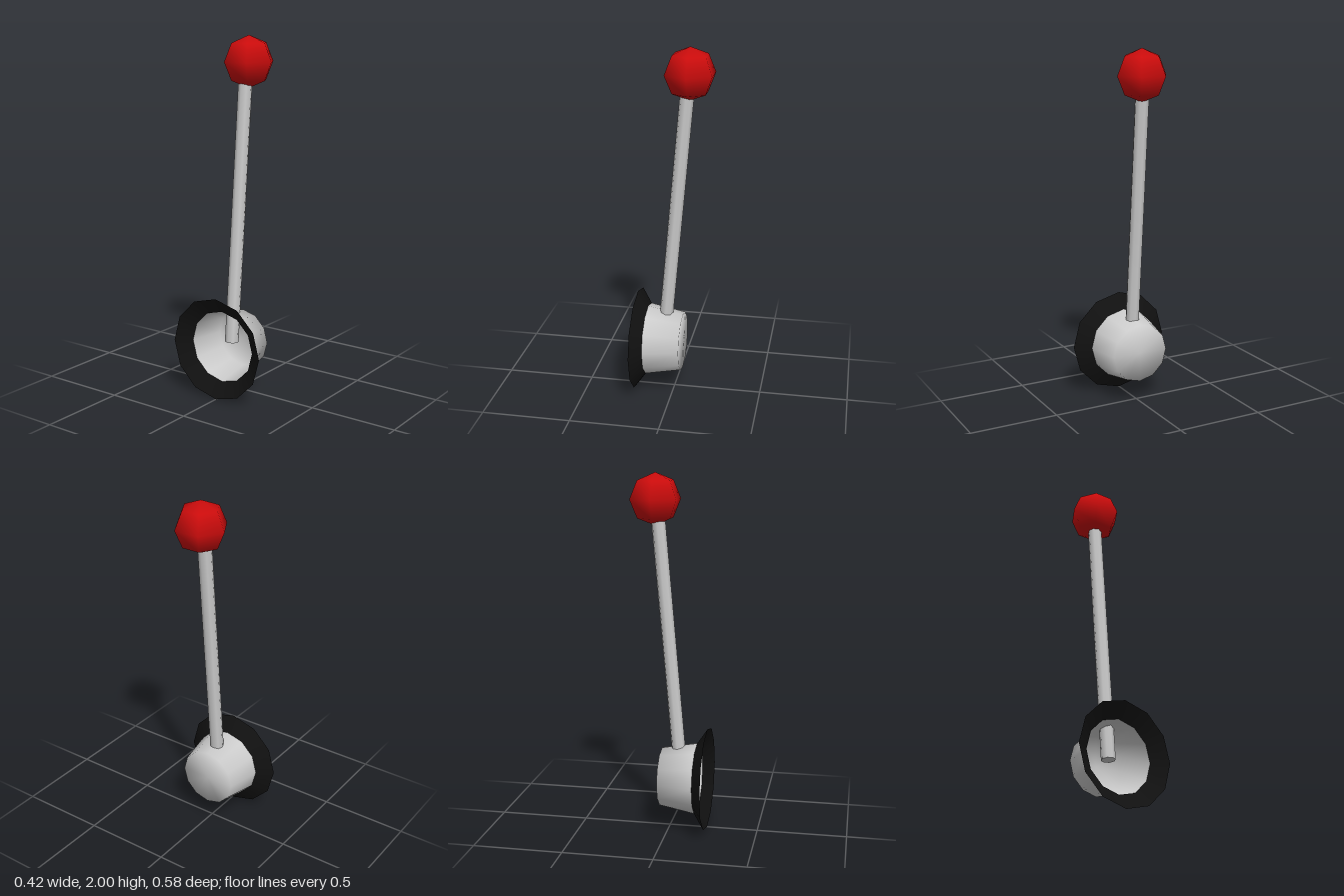
import * as THREE from 'three';

const material = (color, side = THREE.FrontSide) => new THREE.MeshStandardMaterial({ color, side });

function addMesh(group, name, geometry, mat) {
  const mesh = new THREE.Mesh(geometry, mat);
  mesh.name = name;
  group.add(mesh);
  return mesh;
}

// Turned shell about the x axis; profile points are [radius, x]
function turnedShell(profile) {
  const points = profile.map(([r, x]) => new THREE.Vector2(r, x));
  return new THREE.LatheGeometry(points, 12).rotateZ(-Math.PI / 2).translate(0, 0.295, 0);
}

export function createModel() {
  const group = new THREE.Group();
  group.name = 'lever';
  const grey = material(0xcccccc);
  const greyShell = material(0xcccccc, THREE.DoubleSide);
  const black = material(0x111111, THREE.DoubleSide);
  const red = material(0xcc0c0c);

  // Hollow cup, closed at +x and open at -x
  addMesh(group, 'cup', turnedShell([[0.204, -0.154], [0.167, 0.048], [0, 0.048]]), greyShell);

  // Flared rim around the open end
  addMesh(group, 'flange', turnedShell([[0.291, -0.213], [0.204, -0.154]]), black);

  // Leaning rod that ends inside the cup and inside the knob
  const bottom = new THREE.Vector3(-0.062, 0.3, 0);
  const top = new THREE.Vector3(0.073, 1.82, 0);
  const axis = top.clone().sub(bottom);
  const rod = addMesh(group, 'rod', new THREE.CylinderGeometry(0.039, 0.039, axis.length(), 8), grey);
  rod.position.copy(bottom).add(top).multiplyScalar(0.5);
  rod.quaternion.setFromUnitVectors(new THREE.Vector3(0, 1, 0), axis.normalize());

  // Low-sided round knob, corners towards +z and -z
  const knob = addMesh(group, 'knob', new THREE.SphereGeometry(0.147, 6, 4, Math.PI / 2), red);
  knob.scale.y = 0.97;
  knob.position.set(0.084, 1.857, 0.011);

  return group;
}
